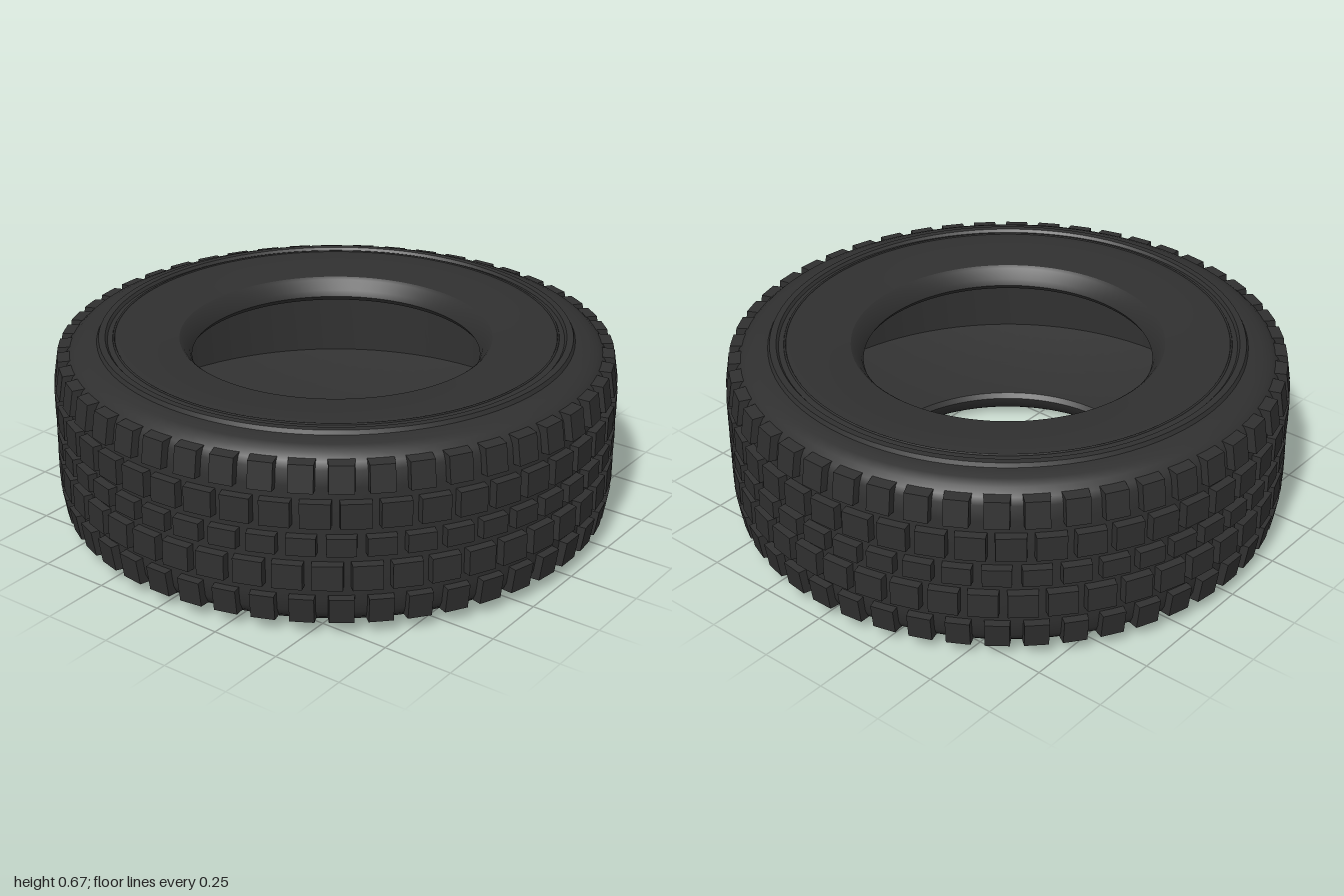
import * as THREE from 'three';
import { mergeGeometries, toCreasedNormals } from 'three/addons/utils/BufferGeometryUtils.js';

const MID = 0.342;      // height of the tyre's middle plane
const BLOCKS = 48;      // tread blocks per row

// Radius of the tread surface at a distance from the middle plane
const treadRadius = (d) => (d < 0.185 ? 1 : 1 - (d - 0.185) * 0.16);

// Full ring from a half profile of [radius, distance from middle], mirrored
function ring(half, segments) {
  const upper = half.map(([r, d]) => new THREE.Vector2(r, MID + d));
  const lower = half.map(([r, d]) => new THREE.Vector2(r, MID - d)).reverse();
  const points = [...lower, ...upper, lower[0].clone()];
  return toCreasedNormals(new THREE.LatheGeometry(points, segments), 0.5);
}

// One tapered tread block, its outer face following the crown of the tread
function block(width, low, high) {
  const g = new THREE.BoxGeometry(width, high - low, 1);
  const p = g.attributes.position;
  for (let i = 0; i < p.count; i++) {
    const outer = p.getZ(i) > 0;
    const inset = outer ? 0.004 : 0;
    const d = p.getY(i) > 0 ? high - inset : low + inset;
    const x = p.getX(i) - Math.sign(p.getX(i)) * inset;
    const r = outer ? treadRadius(Math.abs(d)) : 0.925;
    p.setXYZ(i, x, MID + d, r);
  }
  g.computeVertexNormals();
  return g;
}

export function createModel() {
  const group = new THREE.Group();
  group.name = 'tyre';
  const rubber = new THREE.MeshStandardMaterial({ color: 0x303030 });
  rubber.name = 'black rubber';

  const add = (name, geometry) => {
    const mesh = new THREE.Mesh(geometry, rubber);
    mesh.name = name;
    group.add(mesh);
  };

  // Hollow carcass: tread base, shoulder, sidewall, bead lip, inner cavity
  add('carcass', ring([
    [0.97, 0.05], [0.97, 0.2], [0.962, 0.255], [0.95, 0.28], [0.925, 0.302],
    [0.895, 0.315], [0.86, 0.321], [0.845, 0.322],
    [0.838, 0.336], [0.815, 0.336], [0.807, 0.326],
    [0.785, 0.331], [0.70, 0.329], [0.62, 0.322], [0.555, 0.314],
    [0.545, 0.306], [0.52, 0.272], [0.512, 0.25],
    [0.525, 0.232], [0.7, 0.2], [0.9, 0.135],
  ], 96));

  // Thin raised line inside the sidewall ridge, on both faces
  for (const side of [1, -1]) {
    const line = new THREE.TorusGeometry(0.785, 0.004, 6, 96);
    line.rotateX(Math.PI / 2);
    line.translate(0, MID + side * 0.331, 0);
    add('sidewallLine', line);
  }

  // Five staggered rows of tread blocks
  const rows = [
    { name: 'upperShoulderTread', low: 0.187, high: 0.288, width: 0.09, shift: 0 },
    { name: 'upperTread', low: 0.063, high: 0.16, width: 0.108, shift: 0.35 },
    { name: 'centreTread', low: -0.036, high: 0.036, width: 0.104, shift: 0 },
    { name: 'lowerTread', low: -0.16, high: -0.063, width: 0.108, shift: 0.65 },
    { name: 'lowerShoulderTread', low: -0.288, high: -0.187, width: 0.09, shift: 0 },
  ];
  for (const row of rows) {
    const parts = [];
    for (let i = 0; i < BLOCKS; i++) {
      const g = block(row.width, row.low, row.high);
      g.rotateY(((i + row.shift) / BLOCKS) * Math.PI * 2);
      parts.push(g);
    }
    add(row.name, mergeGeometries(parts));
  }
  return group;
}
